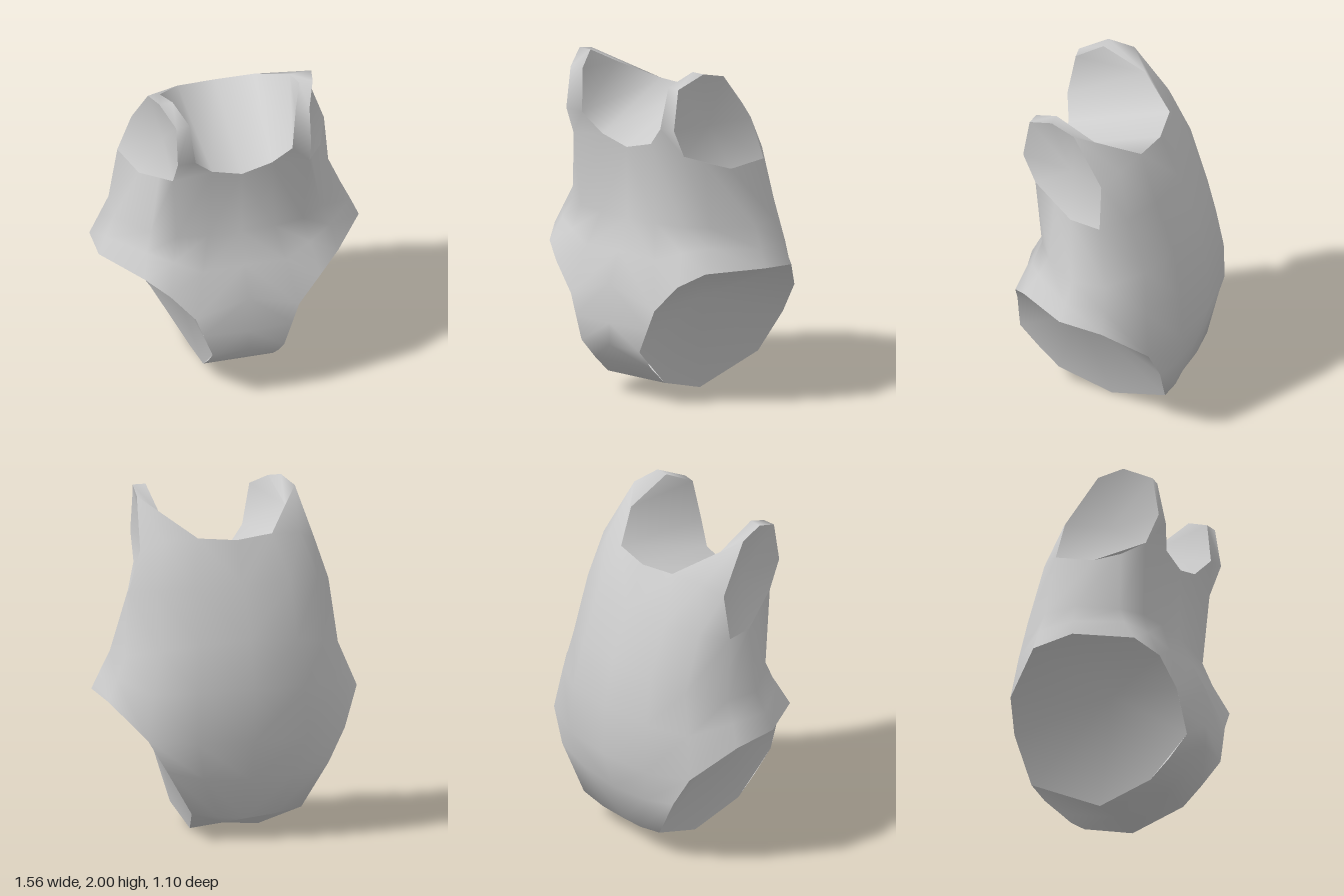
import * as THREE from 'three';
import { mergeVertices } from 'three/addons/utils/BufferGeometryUtils.js';

// Zips two rows of points into triangles; rows may differ in length
function strip(out, a, b) {
  let i = 0, j = 0;
  while (i < a.length - 1 || j < b.length - 1) {
    const fa = i < a.length - 1 ? (i + 1) / (a.length - 1) : Infinity;
    const fb = j < b.length - 1 ? (j + 1) / (b.length - 1) : Infinity;
    if (fa <= fb) { out.push([a[i], a[i + 1], b[j]]); i++; }
    else { out.push([a[i], b[j + 1], b[j]]); j++; }
  }
}

// Shallow bowl closing a loop, fanned around a sunken centre
const bowl = (centre, loop) => loop.map((p, i) => [centre, loop[(i + 1) % loop.length], p]);

const flip = ([x, y, z]) => [-x, y, z];
const mirror = (tris) => tris.map(([a, b, c]) => [flip(a), flip(c), flip(b)]);

function makeMesh(name, tris, material) {
  const geo = new THREE.BufferGeometry();
  geo.setAttribute('position', new THREE.Float32BufferAttribute(tris.flat(2).map((v) => v + 0), 3));
  const merged = mergeVertices(geo);
  merged.computeVertexNormals();
  const mesh = new THREE.Mesh(merged, material);
  mesh.name = name;
  return mesh;
}

export function createModel() {
  const group = new THREE.Group();
  group.name = 'torso';
  const grey = new THREE.MeshStandardMaterial({ color: 0xcccccc, side: THREE.DoubleSide });
  grey.name = 'light grey';

  // Neck opening, front centre over the shoulder to back centre
  const N = [
    [0, 1.51, 0.39], [0.18, 1.56, 0.39], [0.29, 1.68, 0.44], [0.32, 1.93, 0.4],
    [0.38, 2, 0.25], [0.39, 1.87, -0.01], [0.23, 1.75, -0.22], [0, 1.73, -0.25],
  ];
  // Arm opening, front top over the shoulder and back under the arm
  const A = [
    [0.4, 1.93, 0.41], [0.46, 2, 0.25], [0.49, 1.96, 0.1], [0.54, 1.68, -0.09],
    [0.62, 1.44, -0.11], [0.545, 1.41, 0.1], [0.41, 1.52, 0.37], [0.4, 1.69, 0.45],
  ];
  // Leg opening, from the crotch up the front, over the hip and down the back
  const L = [
    [0.21, 0, -0.03], [0.21, 0.1, 0.3], [0.215, 0.34, 0.54], [0.31, 0.6, 0.52],
    [0.45, 0.76, 0.48], [0.58, 0.84, 0.38], [0.78, 0.845, 0.08], [0.77, 0.81, -0.18],
    [0.61, 0.61, -0.41], [0.5, 0.42, -0.44], [0.34, 0.16, -0.41],
  ];

  // Half rings, front centre round the side to back centre
  const hip = [[0, 0.72, 0.55], ...L.slice(3, 9), [0.34, 0.59, -0.52], [0, 0.59, -0.55]];
  const belly = [
    [0, 0.9, 0.46], [0.25, 0.88, 0.45], [0.41, 0.94, 0.39], [0.55, 0.97, 0.3], [0.735, 0.95, 0.06],
    [0.715, 0.94, -0.17], [0.565, 0.87, -0.38], [0.33, 0.89, -0.5], [0, 0.9, -0.54],
  ];
  const waist = [
    [0, 1.08, 0.38], [0.2, 1.08, 0.37], [0.38, 1.08, 0.34], [0.51, 1.08, 0.25], [0.68, 1.07, 0.04],
    [0.66, 1.07, -0.16], [0.505, 1.12, -0.35], [0.3, 1.16, -0.45], [0, 1.18, -0.48],
  ];
  const chest = [
    N[0], N[1], A[6], [0.455, 1.46, 0.23], A[5],
    A[4], [0.5, 1.46, -0.245], [0.3, 1.48, -0.34], [0, 1.48, -0.37],
  ];

  const body = [];
  const rings = [hip, belly, waist, chest];
  for (let i = 0; i < 3; i++) strip(body, rings[i], rings[i + 1]);

  // Gusset between the legs, front to back
  const gusset = [
    [hip[0], L[3]],
    [[0, 0.48, 0.55], [0.266, 0.48, 0.53]],
    [[0, 0.35, 0.55], L[2]],
    [[0, 0.21, 0.42], [0.21, 0.21, 0.42]],
    [[0, 0.1, 0.3], L[1]],
    [[0, 0.02, -0.03], L[0]],
    [[0, 0.11, -0.39], [0.17, 0.13, -0.41], L[10]],
    [[0, 0.35, -0.475], [0.28, 0.37, -0.465], L[9]],
    [hip[8], hip[7], L[8]],
  ];
  for (let i = 0; i < gusset.length - 1; i++) strip(body, gusset[i + 1], gusset[i]);

  // Upper back and shoulder straps
  const blade = [0.42, 1.73, -0.16];
  strip(body, chest.slice(5), [A[3], blade, N[6], N[7]]);
  const strap = [
    [A[3], blade, N[6]], [A[2], N[5]], [A[1], N[4]], [A[0], N[3]], [A[7], N[2]], [A[6], N[1]],
  ];
  for (let i = 0; i < strap.length - 1; i++) strip(body, strap[i], strap[i + 1]);
  group.add(makeMesh('body', [...body, ...mirror(body)], grey));

  // Closed neck trough
  const neck = [];
  strip(neck, N.slice(0, 4), N.slice(4).reverse());
  group.add(makeMesh('neckCap', [...neck, ...mirror(neck)], grey));

  // Sunken caps in the arm and leg openings
  const arm = bowl([0.41, 1.66, 0.14], A);
  const leg = bowl([0.35, 0.615, 0.12], L);
  for (const [name, tris] of [['ArmCap', arm], ['LegCap', leg]]) {
    group.add(makeMesh('left' + name, tris, grey));
    group.add(makeMesh('right' + name, mirror(tris), grey));
  }
  return group;
}
